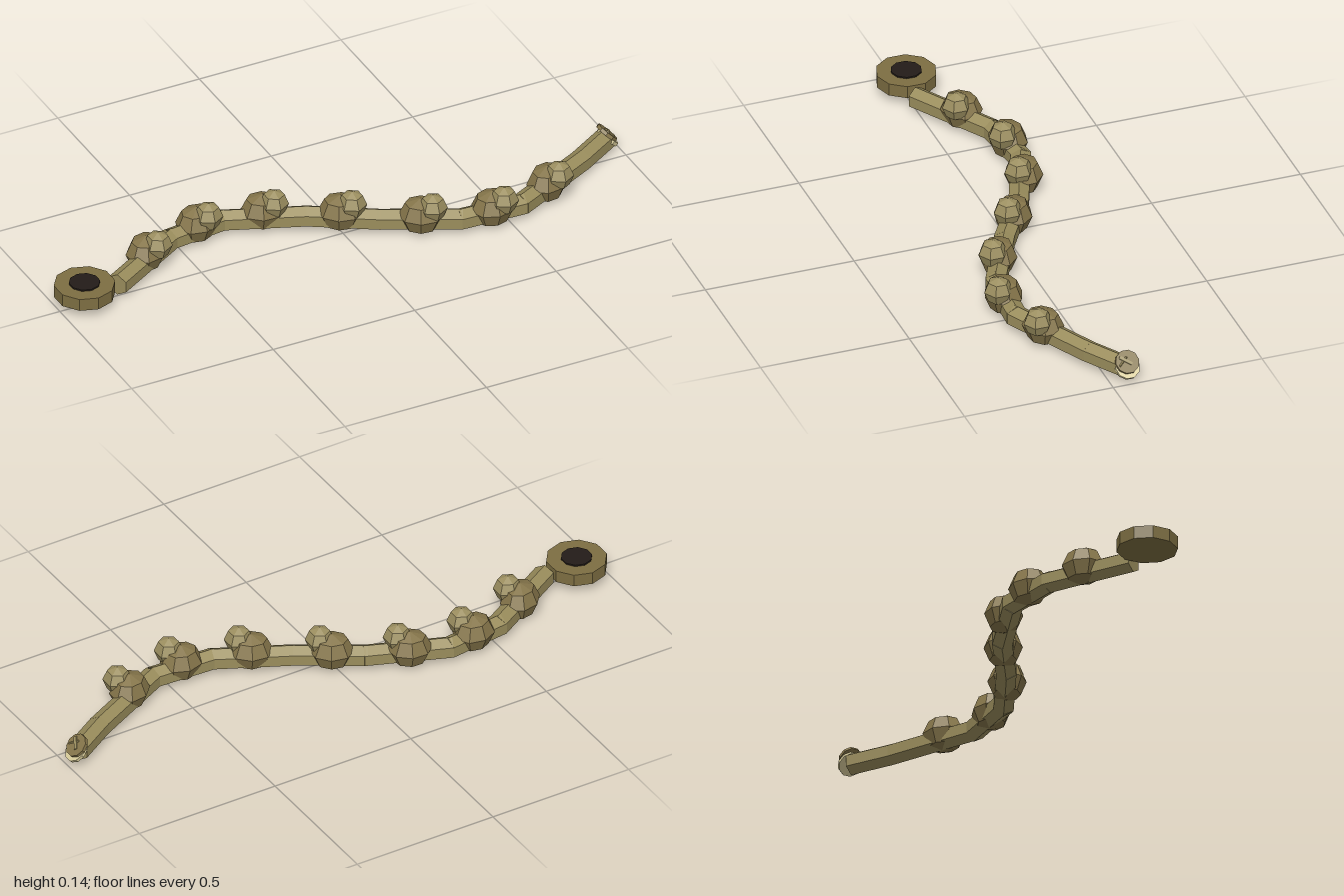
import * as THREE from 'three';

const material = (color) => new THREE.MeshStandardMaterial({ color, flatShading: true });

export function createModel() {
  const model = new THREE.Group();
  const stemMat = material(0x9a8d5c);
  const beadMat = material(0x85754a);
  const budMat = material(0x9c8f60);
  const ringMat = material(0x7d6e42);
  const darkMat = material(0x231c18);
  const creamMat = material(0xd8cc9a);

  const add = (name, geometry, mat, x, y, z, parent = model) => {
    const mesh = new THREE.Mesh(geometry, mat);
    mesh.name = name;
    mesh.position.set(x, y, z);
    parent.add(mesh);
    return mesh;
  };

  // Winding path of the stem: joints as [x, z]
  const joints = [
    [-0.79, -0.005], [-0.53, -0.16], [-0.335, -0.185], [-0.085, -0.085], [0.11, 0.035],
    [0.34, 0.15], [0.55, 0.16], [0.83, 0.02], [0.96, -0.06],
  ];
  const heading = (i) => {
    const [a, b] = [joints[i], joints[i + 1]];
    return Math.atan2(b[1] - a[1], b[0] - a[0]);
  };

  // Six-sided straight stem pieces, overlapping a little at the joints
  for (let i = 0; i < joints.length - 1; i++) {
    const [a, b] = [joints[i], joints[i + 1]];
    const length = Math.hypot(b[0] - a[0], b[1] - a[1]) + (i < 7 ? 0.015 : 0);
    const geometry = new THREE.CylinderGeometry(0.037, 0.037, length, 6, 1, false, Math.PI / 6);
    geometry.rotateZ(Math.PI / 2);
    const piece = add('stemPiece' + (i + 1), geometry, stemMat, (a[0] + b[0]) / 2, 0.0435, (a[1] + b[1]) / 2);
    piece.rotation.y = -heading(i);
  }

  // Knots along the stem, each with a small bud on its upper front side
  const knots = [
    [-0.645, -0.1], [-0.428, -0.176], [-0.21, -0.148], [0.007, -0.032],
    [0.225, 0.1], [0.445, 0.163], [0.665, 0.112],
  ];
  const knotGeometry = new THREE.SphereGeometry(0.062, 8, 4).scale(1.17, 1, 1);
  const budGeometry = new THREE.SphereGeometry(0.047, 6, 4).rotateY(Math.PI / 6);
  knots.forEach(([x, z], i) => {
    const knot = add('knot' + (i + 1), knotGeometry, beadMat, x, 0.065, z);
    knot.rotation.y = -heading(i);
    add('bud' + (i + 1), budGeometry, budMat, x + 0.028, 0.1, z + 0.028);
  });

  // Flat round end plate with a dark centre
  add('endPlate', new THREE.CylinderGeometry(0.098, 0.098, 0.042, 10), ringMat, -0.907, 0.055, -0.012);
  add('plateCentre', new THREE.CylinderGeometry(0.05, 0.05, 0.02, 10), darkMat, -0.907, 0.071, -0.012);

  // Slanted cap at the far end: pale rim, disc and a small raised bar
  const cap = new THREE.Group();
  cap.name = 'tipCap';
  cap.position.set(0.963, 0.055, -0.06);
  cap.rotation.z = -Math.PI / 4;
  model.add(cap);
  add('capRim', new THREE.CylinderGeometry(0.04, 0.04, 0.012, 10), creamMat, 0.008, -0.004, 0, cap);
  add('capDisc', new THREE.CylinderGeometry(0.039, 0.039, 0.012, 10), beadMat, -0.006, 0.006, 0, cap);
  const bar = add('capBar', new THREE.BoxGeometry(0.045, 0.006, 0.01), budMat, -0.01, 0.013, 0.005, cap);
  bar.rotation.y = 0.9;

  return model;
}
